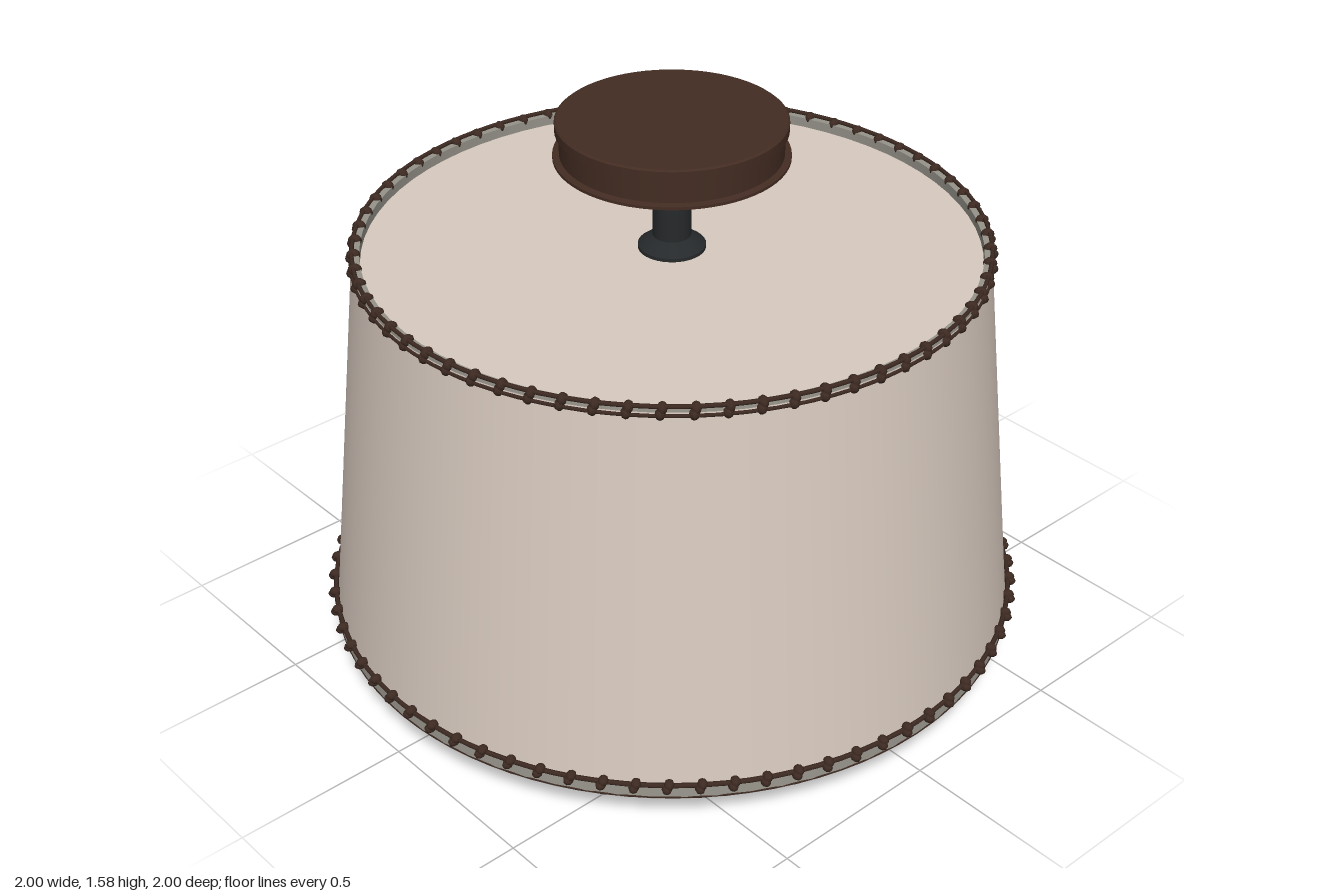
import * as THREE from 'three';

const mat = (name, color, side = THREE.FrontSide) => {
  const m = new THREE.MeshStandardMaterial({ color, side });
  m.name = name;
  return m;
};

export function createModel() {
  const linen = mat('linen', 0xd8cabf, THREE.DoubleSide);
  const bronze = mat('bronze', 0x432c22);
  const leather = mat('leather', 0x3d2a22);
  const iron = mat('iron', 0x26292b);
  const trim = mat('trim', 0x96938a, THREE.DoubleSide);
  const group = new THREE.Group();

  const add = (name, geometry, material, y = 0, parent = group) => {
    const mesh = new THREE.Mesh(geometry, material);
    mesh.name = name;
    mesh.position.y = y;
    parent.add(mesh);
    return mesh;
  };
  // Each profile segment is its own band, so edges between bands stay sharp
  const turned = (name, points, material, sides = 64) => {
    const part = new THREE.Group();
    part.name = name;
    for (let i = 1; i < points.length; i++) {
      const pair = [points[i - 1], points[i]].map(([r, y]) => new THREE.Vector2(r, y));
      add(name + 'Band', new THREE.LatheGeometry(pair, sides), material, 0, part);
    }
    group.add(part);
  };
  const ring = (name, radius, tube, y, material) =>
    add(name, new THREE.TorusGeometry(radius, tube, 6, 96).rotateX(Math.PI / 2), material, y);

  // Tapered drum shade with its diffuser discs
  add('shade', new THREE.CylinderGeometry(0.857, 0.972, 1.08, 72, 1, true), linen, 0.68);
  add('topDiffuser', new THREE.CylinderGeometry(0.845, 0.845, 0.012, 72), linen, 1.196);
  add('bottomDiffuser', new THREE.CylinderGeometry(0.962, 0.962, 0.012, 72), linen, 0.126);

  // Rim bands
  turned('topRim', [[0.835, 1.2], [0.858, 1.2], [0.855, 1.23], [0.835, 1.23], [0.835, 1.2]], trim, 72);
  turned('bottomRim', [[0.96, 0.115], [0.98, 0.115], [0.977, 0.15], [0.96, 0.15], [0.96, 0.115]], trim, 72);

  // Leather cords held by evenly spaced wrapped knots
  const knotGeometry = new THREE.SphereGeometry(1, 8, 6);
  const lacing = (name, radius, y, count, height, depth) => {
    const part = new THREE.Group();
    part.name = name;
    for (let i = 0; i < count; i++) {
      const a = ((i + 0.5) / count) * Math.PI * 2;
      for (const s of [-1, 1]) {
        const knot = add('knot', knotGeometry, leather, y + s * height * 0.3, part);
        knot.position.x = Math.sin(a + s * 0.003) * (radius - s * 0.002);
        knot.position.z = Math.cos(a + s * 0.003) * (radius - s * 0.002);
        knot.rotation.y = a;
        knot.scale.set(0.014, height * 0.7, depth);
      }
    }
    group.add(part);
  };
  ring('topCord', 0.855, 0.006, 1.236, leather);
  ring('topLowerCord', 0.859, 0.005, 1.212, leather);
  ring('bottomCord', 0.978, 0.007, 0.158, leather);
  ring('bottomEdge', 0.977, 0.004, 0.118, leather);
  lacing('topLacing', 0.852, 1.222, 66, 0.023, 0.019);
  lacing('bottomLacing', 0.982, 0.157, 72, 0.019, 0.018);

  // Ceiling canopy: cap, recessed waist and lower flange
  turned('canopy', [[0, 1.475], [0.315, 1.475], [0.315, 1.483], [0.297, 1.486], [0.297, 1.55],
    [0.308, 1.553], [0.308, 1.578], [0.303, 1.582], [0, 1.582]], bronze);

  // Stem with flared collar on the top disc
  turned('stem', [[0.092, 1.2], [0.092, 1.212], [0.075, 1.225], [0.052, 1.24], [0.052, 1.476]], iron, 32);

  // Bottom washer and finial
  turned('finial', [[0, 0], [0.036, 0], [0.043, 0.008], [0.043, 0.1], [0.06, 0.107],
    [0.094, 0.109], [0.094, 0.122]], iron, 32);

  return group;
}
